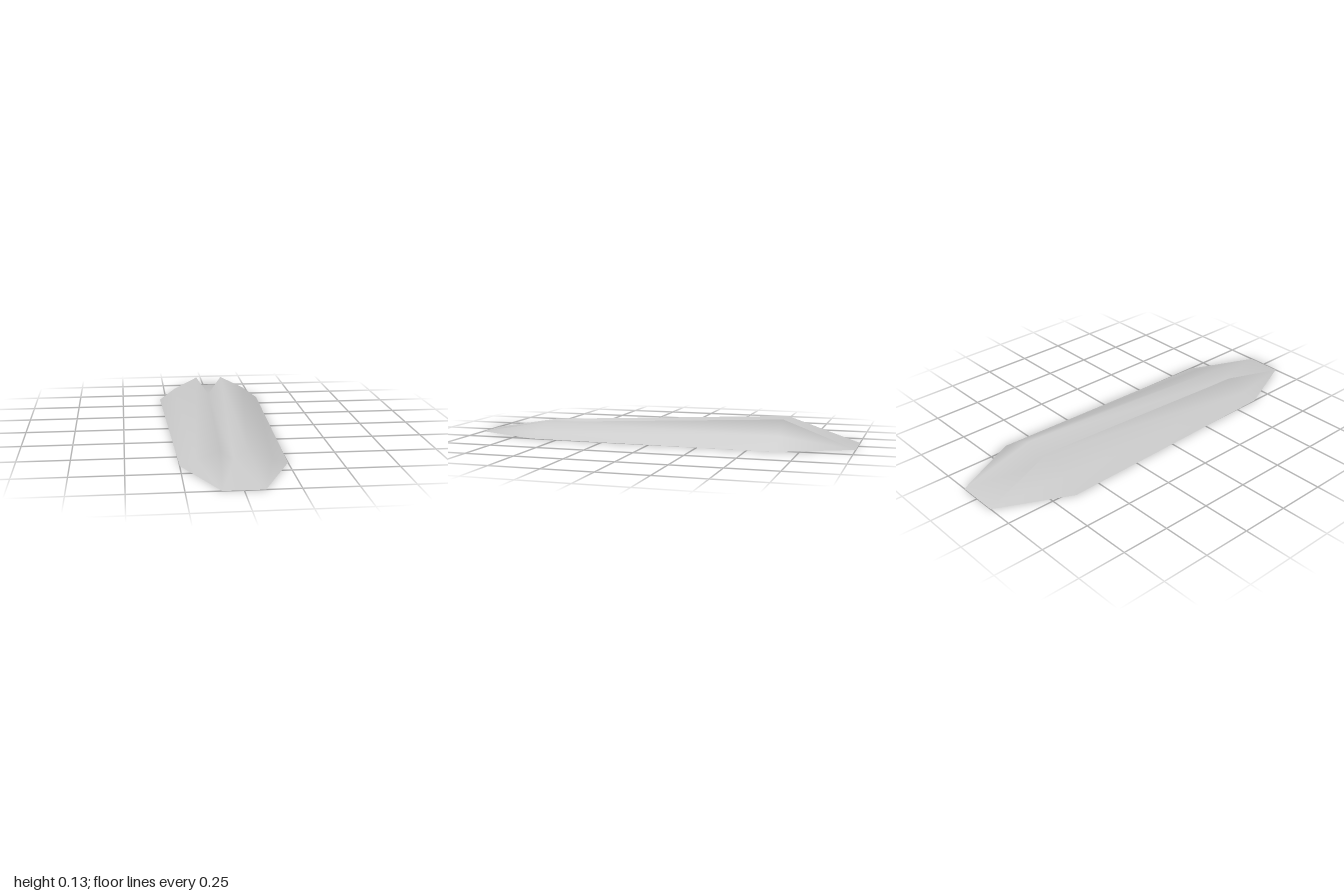
import * as THREE from 'three';

// Half cross-section from the outer edge inwards; the other half is mirrored.
function section(z, half) {
  const left = half.map(([x, y]) => [-x, y, z]);
  const right = half.slice(0, -1).reverse().map(([x, y]) => [x, y, z]);
  return [...left, ...right];
}

export function createModel() {
  const grey = new THREE.MeshStandardMaterial({ color: 0xcccccc, side: THREE.DoubleSide });
  grey.name = 'light grey';

  // Edge, shoulder, ridge and valley of the two main sections
  const front = section(0.64, [[0.25, 0], [0.178, 0.025], [0.063, 0.063], [0, 0.02]]);
  const rear = section(-0.64, [[0.285, 0], [0.2, 0.063], [0.071, 0.128], [0, 0.027]]);
  const ends = [[-0.093, 0, 1], [0.093, 0, 1], [-0.108, 0, -1], [0.108, 0, -1]];
  const n = front.length, valley = (n - 1) / 2, e = 2 * n;
  const index = [];

  for (let i = 0; i < n - 1; i++) {
    // Long folded body
    index.push(i, i + 1, n + i + 1, i, n + i + 1, n + i);
    // Tapered ends, each half fanning into its own corner
    const side = i < valley ? 0 : 1;
    index.push(e + side, i + 1, i);
    index.push(e + 2 + side, n + i, n + i + 1);
  }
  // Triangles between the valley and the blunt tips
  index.push(e, e + 1, valley, e + 3, e + 2, n + valley);

  const geometry = new THREE.BufferGeometry();
  const points = [...front, ...rear, ...ends].flat();
  geometry.setAttribute('position', new THREE.Float32BufferAttribute(points, 3));
  geometry.setIndex(index);
  geometry.computeVertexNormals();

  const blade = new THREE.Mesh(geometry, grey);
  blade.name = 'foldedBlade';
  const model = new THREE.Group();
  model.name = 'foldedBladeModel';
  model.add(blade);
  return model;
}
